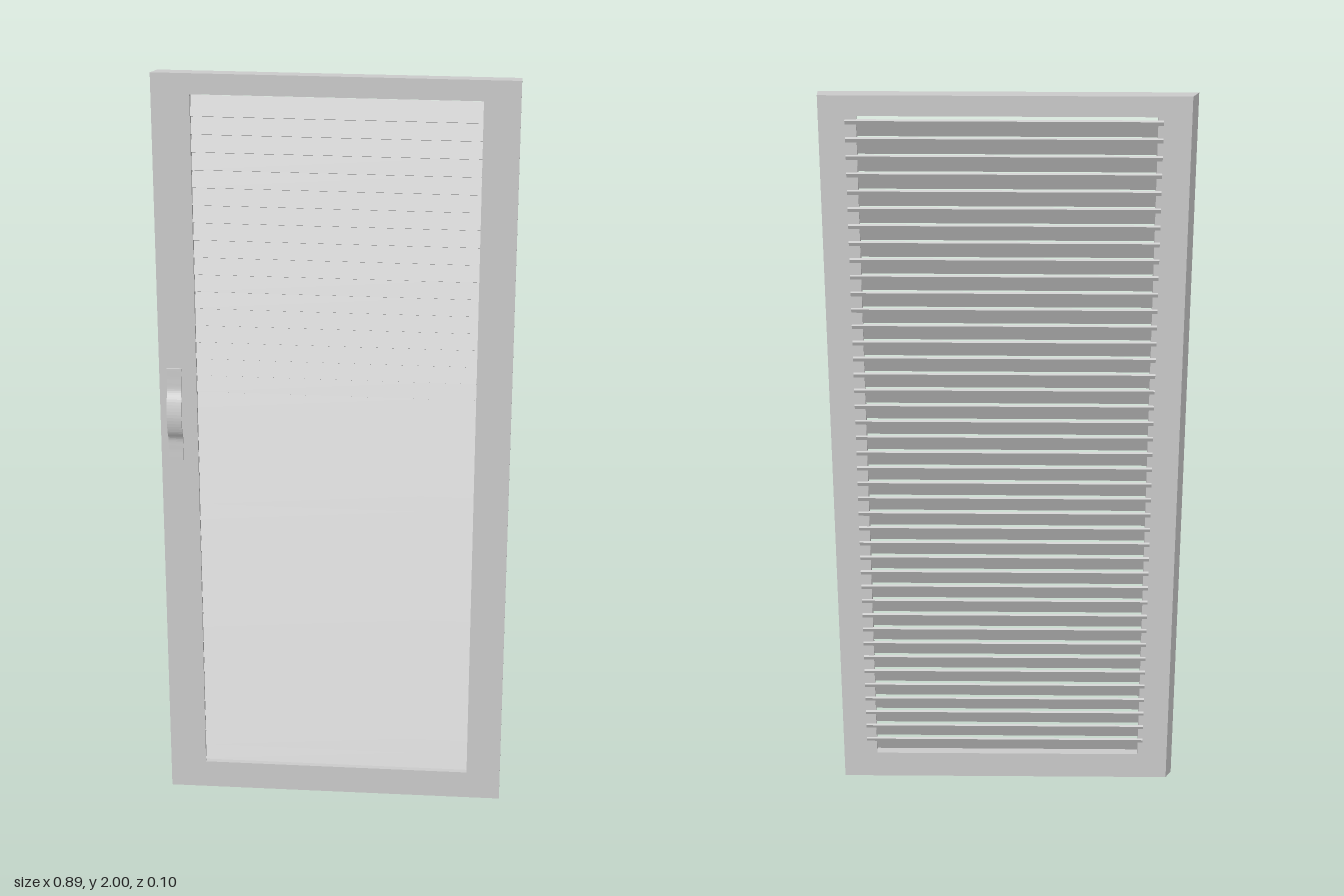
import * as THREE from 'three';

const material = new THREE.MeshStandardMaterial({ color: 0xcccccc });
const BACK = -0.045, FRONT = -0.02;

function add(group, name, geometry, x = 0, y = 0, z = 0) {
  const mesh = new THREE.Mesh(geometry, material);
  mesh.name = name;
  mesh.position.set(x, y, z);
  group.add(mesh);
  return mesh;
}

function rectangle(Type, x0, y0, x1, y1) {
  const path = new Type();
  path.moveTo(x0, y0);
  path.lineTo(x1, y0);
  path.lineTo(x1, y1);
  path.lineTo(x0, y1);
  path.closePath();
  return path;
}

// Door frame with a window opening and a slanted closing edge
function doorFrame() {
  const shape = rectangle(THREE.Shape, -0.444, 0, 0.444, 2);
  shape.holes.push(rectangle(THREE.Path, -0.35, 0.078, 0.355, 1.948));
  const geometry = new THREE.ExtrudeGeometry(shape, { depth: FRONT - BACK, bevelEnabled: false });
  geometry.translate(0, 0, BACK);
  const p = geometry.attributes.position;
  for (let i = 0; i < p.count; i++) {
    if (p.getX(i) < -0.44 && p.getZ(i) < BACK + 0.001) p.setX(i, -0.429);
  }
  geometry.computeVertexNormals();
  return geometry;
}

// Thin strip bowed outwards in the middle, extruded across its width
function gripStrip(width, thickness) {
  const curve = new THREE.CatmullRomCurve3([
    [1.0, 0.021], [1.035, 0.021], [1.06, 0.023], [1.085, 0.036], [1.125, 0.043],
    [1.165, 0.036], [1.19, 0.023], [1.215, 0.021], [1.25, 0.021],
  ].map(([y, z]) => new THREE.Vector3(z, y, 0)));
  const outer = [], inner = [];
  for (let i = 0; i <= 40; i++) {
    const c = curve.getPoint(i / 40), t = curve.getTangent(i / 40);
    const nx = t.y * thickness / 2, ny = -t.x * thickness / 2;
    outer.push(new THREE.Vector2(c.x + nx, c.y + ny));
    inner.unshift(new THREE.Vector2(c.x - nx, c.y - ny));
  }
  const geometry = new THREE.ExtrudeGeometry(new THREE.Shape([...outer, ...inner]),
    { depth: width, bevelEnabled: false });
  geometry.translate(0, 0, -width / 2);
  geometry.rotateY(-Math.PI / 2);
  return geometry;
}

export function createModel() {
  const door = new THREE.Group();
  door.name = 'louvredDoor';
  add(door, 'frame', doorFrame());

  // Tilted slats: lower edge to the front, upper edge just proud of the back
  const slats = new THREE.Group();
  slats.name = 'slats';
  door.add(slats);
  const slatGeometry = new THREE.BoxGeometry(0.745, 0.052, 0.006);
  slatGeometry.rotateX(-0.42);
  for (let i = 0; i < 41; i++) {
    add(slats, 'slat', slatGeometry, 0.0095, 0.107 + i * 0.0452, -0.0366);
  }

  // Pull handle on two posts
  const handle = new THREE.Group();
  handle.name = 'handle';
  handle.position.x = -0.4;
  door.add(handle);
  add(handle, 'grip', gripStrip(0.037, 0.006));
  const post = new THREE.CylinderGeometry(0.0045, 0.0045, 0.042, 20).rotateX(Math.PI / 2);
  const rosette = new THREE.CylinderGeometry(0.008, 0.008, 0.007, 24).rotateX(Math.PI / 2);
  for (const y of [1.04, 1.21]) {
    add(handle, 'post', post, 0, y, 0);
    add(handle, 'rosette', rosette, 0, y, FRONT + 0.003);
  }
  return door;
}
